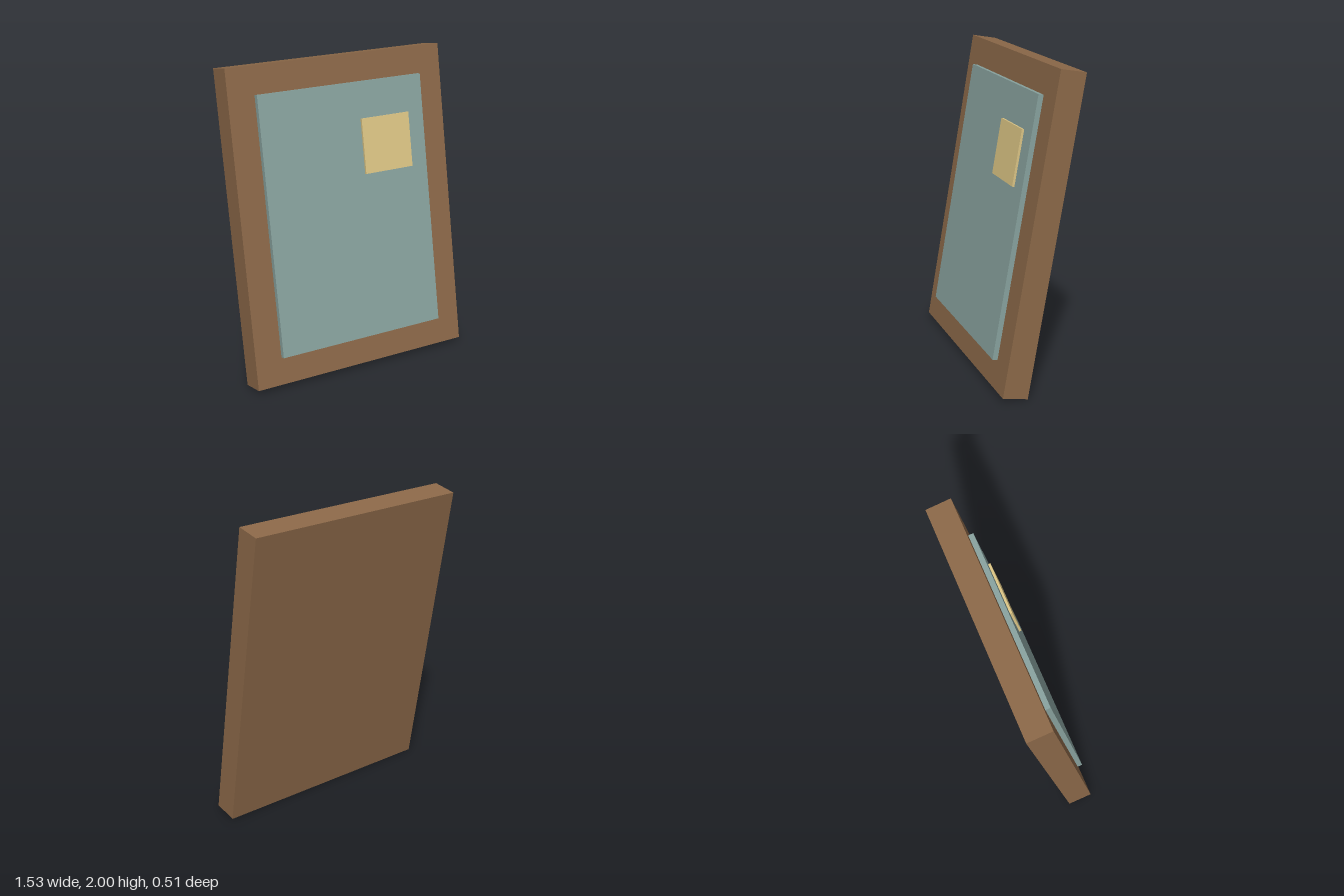
import * as THREE from 'three';

export function createModel() {
  const model = new THREE.Group();
  model.name = 'leaningBoard';

  // Everything leans back together
  const board = new THREE.Group();
  board.name = 'board';
  board.position.set(0, 1, -0.001);
  board.rotation.x = -THREE.MathUtils.degToRad(10);
  model.add(board);

  // Slab whose back face sits at depth zBack in the board's own frame
  const addSlab = (name, color, [w, h, d], x, y, zBack) => {
    const mesh = new THREE.Mesh(
      new THREE.BoxGeometry(w, h, d),
      new THREE.MeshStandardMaterial({ color })
    );
    mesh.name = name;
    mesh.position.set(x, y, zBack + d / 2);
    board.add(mesh);
  };

  const frameDepth = 0.163, panelDepth = 0.033;
  const front = frameDepth / 2;

  addSlab('frame', 0x8b6848, [1.53, 2.002, frameDepth], 0, 0, -front);
  addSlab('panel', 0x88a29e, [1.174, 1.645, panelDepth], 0, 0, front);
  addSlab('note', 0xdcc585, [0.352, 0.353, 0.015], 0.291, 0.413, front + panelDepth);

  return model;
}
